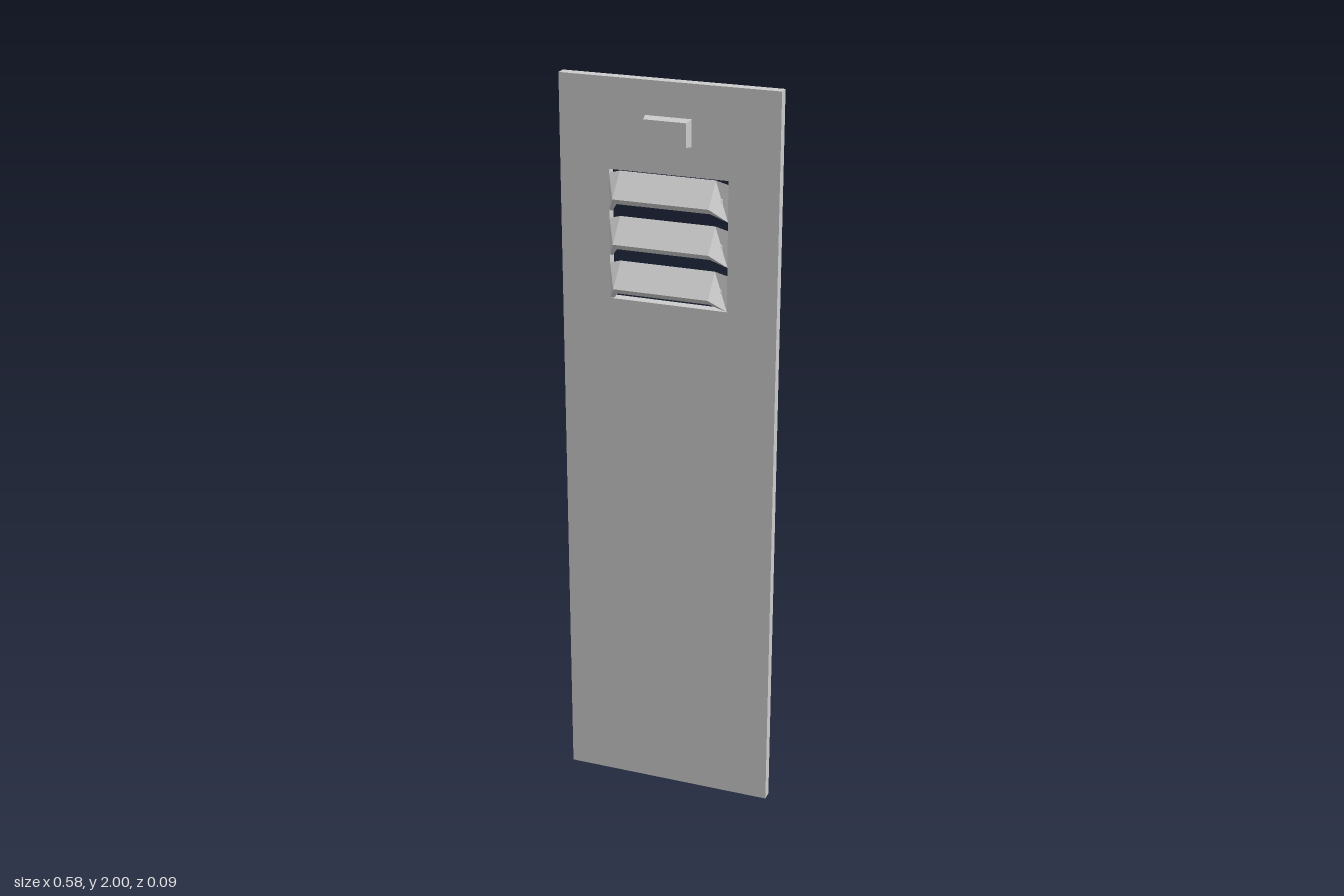
import * as THREE from 'three';

const material = new THREE.MeshStandardMaterial({ color: 0xcccccc, flatShading: true, side: THREE.DoubleSide });
const WIDTH = 0.58, HEIGHT = 2, BACK = -0.044, FRONT = -0.016;
const VENT = { x: 0.158, bottom: 1.424, top: 1.766 };

function addMesh(parent, name, geometry) {
  const mesh = new THREE.Mesh(geometry, material);
  mesh.name = name;
  parent.add(mesh);
  return mesh;
}

// Closed skin through cross-sections of equal point count
function loft(sections) {
  const pos = [];
  for (let i = 0; i < sections.length - 1; i++) {
    const s = sections[i], t = sections[i + 1], n = s.length;
    for (let k = 0; k < n; k++) {
      const m = (k + 1) % n;
      pos.push(...s[k], ...s[m], ...t[m], ...s[k], ...t[m], ...t[k]);
    }
  }
  const geometry = new THREE.BufferGeometry();
  geometry.setAttribute('position', new THREE.Float32BufferAttribute(pos, 3));
  geometry.computeVertexNormals();
  return geometry;
}

// Flat door sheet with a rectangular vent opening
function panelGeometry() {
  const shape = new THREE.Shape([
    [-WIDTH / 2, 0], [WIDTH / 2, 0], [WIDTH / 2, HEIGHT], [-WIDTH / 2, HEIGHT],
  ].map(p => new THREE.Vector2(...p)));
  shape.holes.push(new THREE.Path([
    [-VENT.x, VENT.bottom], [-VENT.x, VENT.top], [VENT.x, VENT.top], [VENT.x, VENT.bottom],
  ].map(p => new THREE.Vector2(...p))));
  return new THREE.ExtrudeGeometry(shape, { depth: FRONT - BACK, bevelEnabled: false }).translate(0, 0, BACK);
}

// Thick sloping slat whose ends fold back into the opening; y is measured from its top edge
function louvreGeometry() {
  const middle = [[0.127, 0, -0.011], [0.127, -0.06, 0.042], [0.124, -0.078, 0.02], [0.124, -0.018, -0.033]];
  const end = [[0.158, -0.01, -0.016], [0.158, -0.106, -0.016], [0.158, -0.115, -0.035], [0.158, -0.026, -0.036]];
  const mirror = section => section.map(([x, y, z]) => [-x, y, z]);
  return loft([mirror(end), mirror(middle), middle, end]);
}

// Small block, slightly narrower at its front face
function plateGeometry() {
  const geometry = new THREE.BoxGeometry(0.122, 0.07, 0.026);
  const p = geometry.attributes.position;
  for (let i = 0; i < p.count; i++) {
    if (p.getZ(i) > 0) p.setXY(i, p.getX(i) * 0.91, p.getY(i) * 0.88);
  }
  geometry.computeVertexNormals();
  return geometry;
}

export function createModel() {
  const model = new THREE.Group();
  model.name = 'ventedDoor';
  addMesh(model, 'doorPanel', panelGeometry());

  const vent = new THREE.Group();
  vent.name = 'vent';
  model.add(vent);
  const louvre = louvreGeometry();
  for (let i = 0; i < 3; i++) {
    addMesh(vent, `louvre${i + 1}`, louvre).position.y = VENT.top - i * 0.118;
  }

  addMesh(model, 'labelHolder', plateGeometry()).position.set(0, 1.877, FRONT + 0.013);
  return model;
}
